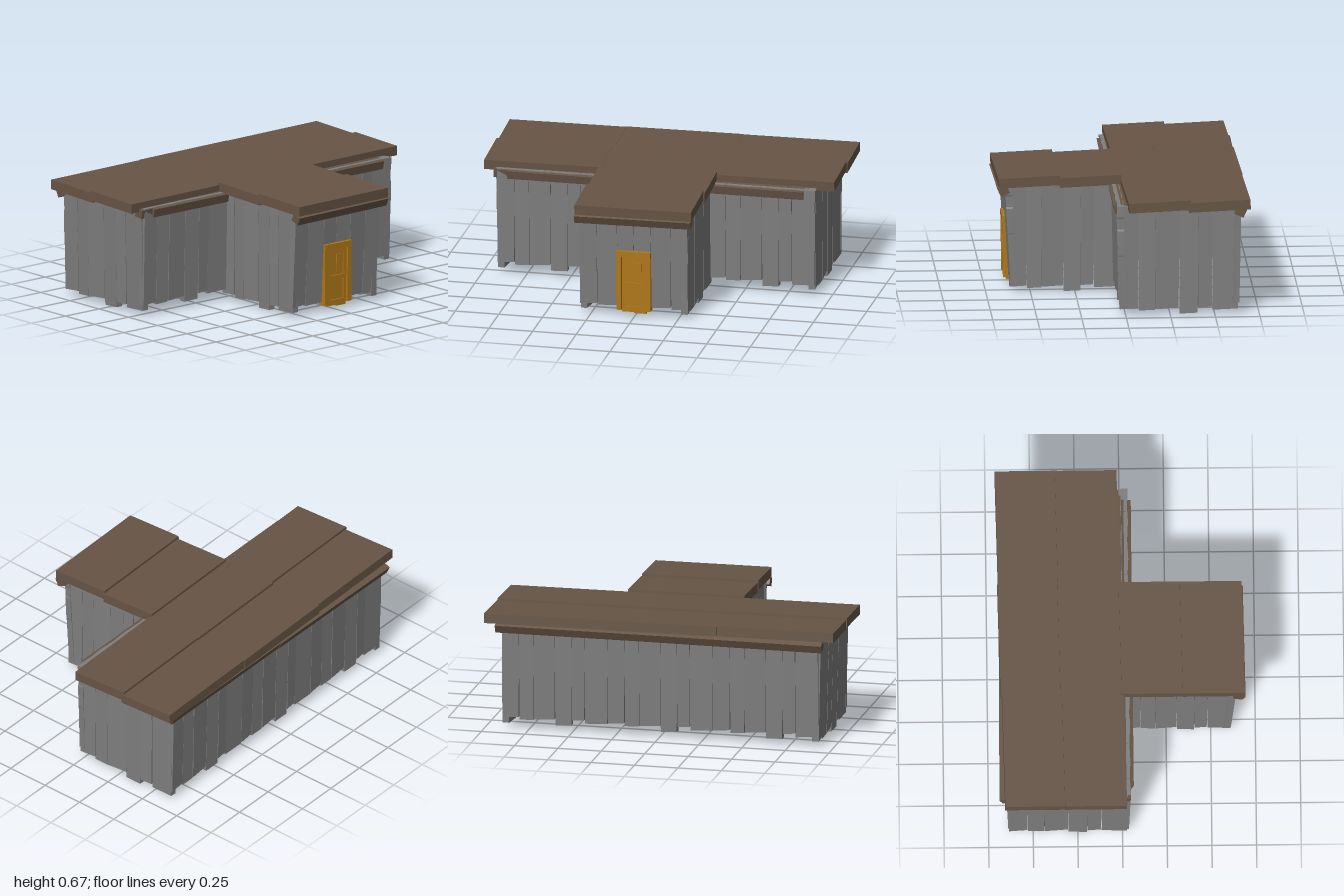
import * as THREE from 'three';

const material = (color) => new THREE.MeshStandardMaterial({ color, flatShading: true });

export function createModel() {
  const hut = new THREE.Group();
  hut.name = 'timberHut';
  const darkGrey = material(0x7e7e7e);
  const brown = material(0x675545);
  const gold = material(0xb07818);

  const TOP = 0.618;
  const THICK = 0.038;
  const EDGES = [0, 0.16, 0.3, 0.5, 0.66, 0.78, 1];
  const BOTTOMS = [0.03, 0.02, 0.028, 0, 0.035, 0.02];
  const DOOR_EDGES = [0, 0.16, 0.35, 0.5, 0.66, 0.84, 1];
  const DOOR_BOTTOMS = [0.025, 0.02, 0.345, 0.345, 0.025, 0.02];

  const box = (parent, name, mat, size, position) => {
    const mesh = new THREE.Mesh(new THREE.BoxGeometry(...size), mat);
    mesh.name = name;
    mesh.position.set(...position);
    parent.add(mesh);
    return mesh;
  };

  // One board with a sloping foot and hairline cracks at its right edge
  const plank = (width, bottom, index) => {
    const slope = 0.05 * width;
    const low = Math.min(bottom + 0.28, TOP - 0.18);
    const shape = new THREE.Shape([
      [0, bottom], [width - 0.004, bottom + slope], [width - 0.002, low], [width, low + 0.01],
      [width, TOP - 0.14], [width - 0.003, TOP - 0.13], [width - 0.003, TOP - 0.07],
      [width, TOP - 0.06], [width, TOP], [0, TOP],
    ].map(([x, y]) => new THREE.Vector2(x, y)));
    const geometry = new THREE.ExtrudeGeometry(shape, { depth: THICK, bevelEnabled: false });
    geometry.translate(0, 0, -THICK);
    const mesh = new THREE.Mesh(geometry, darkGrey);
    mesh.name = 'plank';
    mesh.rotation.y = index % 2 ? -0.05 : 0.05;
    mesh.position.z = index % 2 ? -0.006 : 0;
    return mesh;
  };

  // Wall section: starts at (x, z), runs to the right as seen from outside
  const wall = (name, x, z, angle, length, base = 0, lean = 0, edges = EDGES, bottoms = BOTTOMS) => {
    const group = new THREE.Group();
    group.name = name;
    bottoms.forEach((bottom, i) => {
      const board = plank((edges[i + 1] - edges[i]) * length, bottom + base, i);
      board.position.x = edges[i] * length;
      group.add(board);
    });
    group.position.set(x, 0, z);
    group.rotation.set(lean, angle, 0, 'YXZ');
    hut.add(group);
  };

  // Main hall and front wing, open to each other and without a floor
  const quarter = Math.PI / 2;
  wall('mainFrontWallRight', -0.918, 0.035, 0, 0.613, 0.03, 0.02);
  wall('mainFrontWallLeft', 0.295, 0.035, 0, 0.612, 0.03, 0.02);
  for (let i = 0; i < 3; i++) {
    wall('backWall', 0.905 - i * 0.607, -0.638, Math.PI, 0.607, 0.03, 0.02);
  }
  wall('mainLeftWall', 0.905, 0.03, quarter, 0.665);
  wall('mainRightWall', -0.915, -0.635, -quarter, 0.665, 0, 0.02);
  wall('wingLeftWall', 0.305, 0.615, quarter, 0.605);
  wall('wingRightWall', -0.31, 0.01, -quarter, 0.605);
  wall('wingFrontWall', -0.314, 0.61, 0, 0.622, 0.03, 0.055, DOOR_EDGES, DOOR_BOTTOMS);

  // Slightly tilted, overlapping roof slabs
  const roof = new THREE.Group();
  roof.name = 'roof';
  hut.add(roof);
  const slab = (x, z) => {
    const mesh = box(roof, 'roofSlab', brown, [0.667, 0.055, 0.347], [x, 0.636, z]);
    mesh.rotation.set(0.042, 0.018, 0);
  };
  for (const [x, shift] of [[-0.667, 0.02], [0, 0], [0.667, -0.008]]) {
    slab(x, -0.175 + shift);
    slab(x, -0.51 + shift);
  }
  slab(0, 0.168);
  slab(0, 0.511);

  // Twisted beams under the eaves
  const beam = (name, x0, x1, y, z, twist, yaw = 0) => {
    const mesh = box(roof, name, brown, [x1 - x0, 0.048, 0.055], [(x0 + x1) / 2, y, z]);
    mesh.rotation.set(twist, yaw, 0);
  };
  beam('wingEaveBeam', -0.333, 0.333, 0.583, 0.656, 0.42, 0.016);
  beam('backEaveBeam', -0.94, 0, 0.588, -0.652, -0.42, -0.006);
  beam('backEaveBeam', 0, 0.94, 0.588, -0.645, -0.42);
  for (const [x0, x1] of [[-0.94, -0.3], [0.3, 0.9]]) {
    beam('mainEaveBeam', x0, x1, 0.592, 0.015, 0.1, 0.01);
  }
  for (const [x0, x1] of [[-0.86, -0.3], [0.3, 0.84]]) {
    beam('mainEaveTrim', x0, x1, 0.592, 0.032, 0.2);
  }

  // Framed door with rails and a small window panel
  const door = new THREE.Group();
  door.name = 'door';
  door.position.set(-0.002, 0, 0.622);
  door.rotation.x = 0.012;
  hut.add(door);
  for (const side of [-1, 1]) {
    box(door, 'doorPost', gold, [0.028, 0.35, 0.05], [side * 0.084, 0.215, -0.006]);
    box(door, 'doorStile', gold, [0.02, 0.315, 0.012], [side * 0.058, 0.195, 0.003]);
    box(door, 'doorBoard', gold, [0.069, 0.335, 0.018], [side * 0.035, 0.191 - side * 0.003, -0.008]);
  }
  box(door, 'doorLintel', gold, [0.196, 0.034, 0.052], [0, 0.372, -0.006]);
  for (const y of [0.05, 0.19, 0.34]) {
    box(door, 'doorRail', gold, [0.13, 0.022, 0.012], [0, y, 0.003]);
    box(door, 'doorBackRail', gold, [0.13, 0.022, 0.012], [0, y, -0.021]);
  }
  box(door, 'doorWindow', gold, [0.042, 0.05, 0.01], [0.022, 0.295, 0.002]);
  box(door, 'doorHandle', gold, [0.01, 0.02, 0.01], [0.055, 0.205, 0.01]);

  return hut;
}
